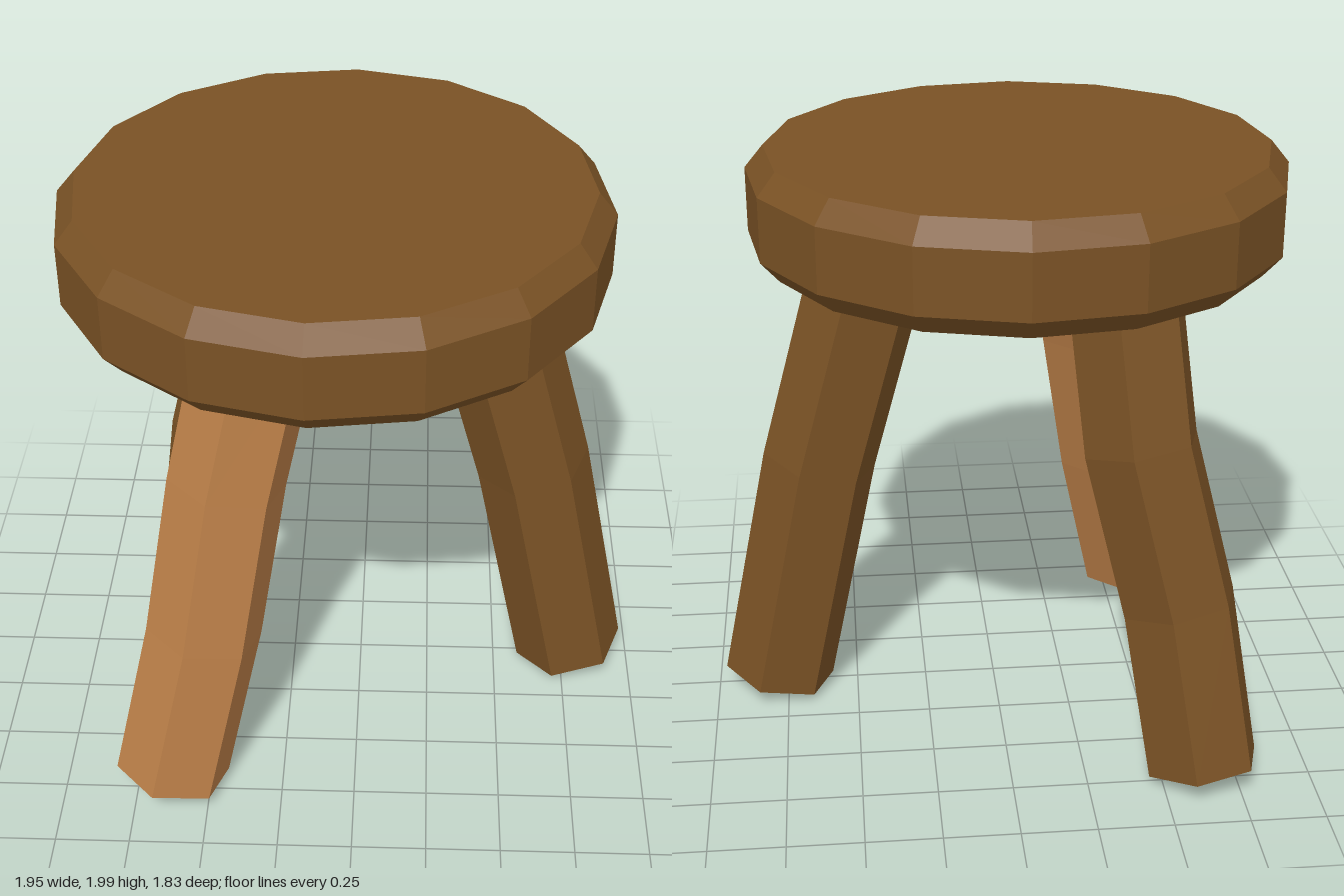
import * as THREE from 'three';

const rad = THREE.MathUtils.degToRad;
const darkWood = new THREE.MeshStandardMaterial({ color: 0x7a5225, flatShading: true });
const lightWood = new THREE.MeshStandardMaterial({ color: 0xbb7f48, flatShading: true });

// Faceted geometry with one normal per face
function facet(geometry) {
  const flat = geometry.toNonIndexed();
  flat.computeVertexNormals();
  return flat;
}

// Hexagonal leg bent along a path, its rings square to the path.
// corner: compass angle of one hexagon corner, measured from +x towards +z
function makeLeg(name, path, corner, material) {
  const radius = 0.193;
  const points = path.map((p) => new THREE.Vector3(...p));
  const last = points.length - 1;
  const geometry = new THREE.CylinderGeometry(radius, radius, 1, 6, last);
  geometry.rotateY(rad(90 - corner));
  const pos = geometry.attributes.position;
  for (let i = 0; i < pos.count; i++) {
    const row = Math.round((pos.getY(i) + 0.5) * last);
    const dx = pos.getX(i), dz = pos.getZ(i);
    const t = points[Math.min(row + 1, last)].clone().sub(points[Math.max(row - 1, 0)]);
    const c = points[row];
    pos.setXYZ(i, c.x + dx, c.y - (dx * t.x + dz * t.z) / t.y, c.z + dz);
  }
  const leg = new THREE.Mesh(facet(geometry), material);
  leg.name = name;
  return leg;
}

export function createModel() {
  const stool = new THREE.Group();
  stool.name = 'stool';

  // Sixteen-sided seat with bevelled rims
  const profile = [[0, 1.64], [0.835, 1.64], [0.897, 1.71], [0.897, 1.925], [0.835, 2], [0, 2]];
  const seatGeometry = new THREE.LatheGeometry(profile.map((p) => new THREE.Vector2(...p)), 16);
  seatGeometry.rotateY(rad(90 - 3.2));
  const seat = new THREE.Mesh(facet(seatGeometry), darkWood);
  seat.name = 'seat';
  seat.position.set(-0.085, 0, 0.025);
  stool.add(seat);

  // Three crooked legs, each path running from foot to seat
  stool.add(
    makeLeg('leftLeg',
      [[0.78, 0.055, 0], [0.605, 0.895, 0], [0.385, 1.7, 0]], -9, darkWood),
    makeLeg('frontRightLeg',
      [[-0.63, 0.062, 0.705], [-0.505, 0.62, 0.61], [-0.415, 1.17, 0.51], [-0.297, 1.7, 0.415]], 45, lightWood),
    makeLeg('backRightLeg',
      [[-0.64, 0.058, -0.725], [-0.56, 0.61, -0.61], [-0.43, 1.15, -0.527], [-0.375, 1.7, -0.408]], 46, darkWood),
  );
  return stool;
}
